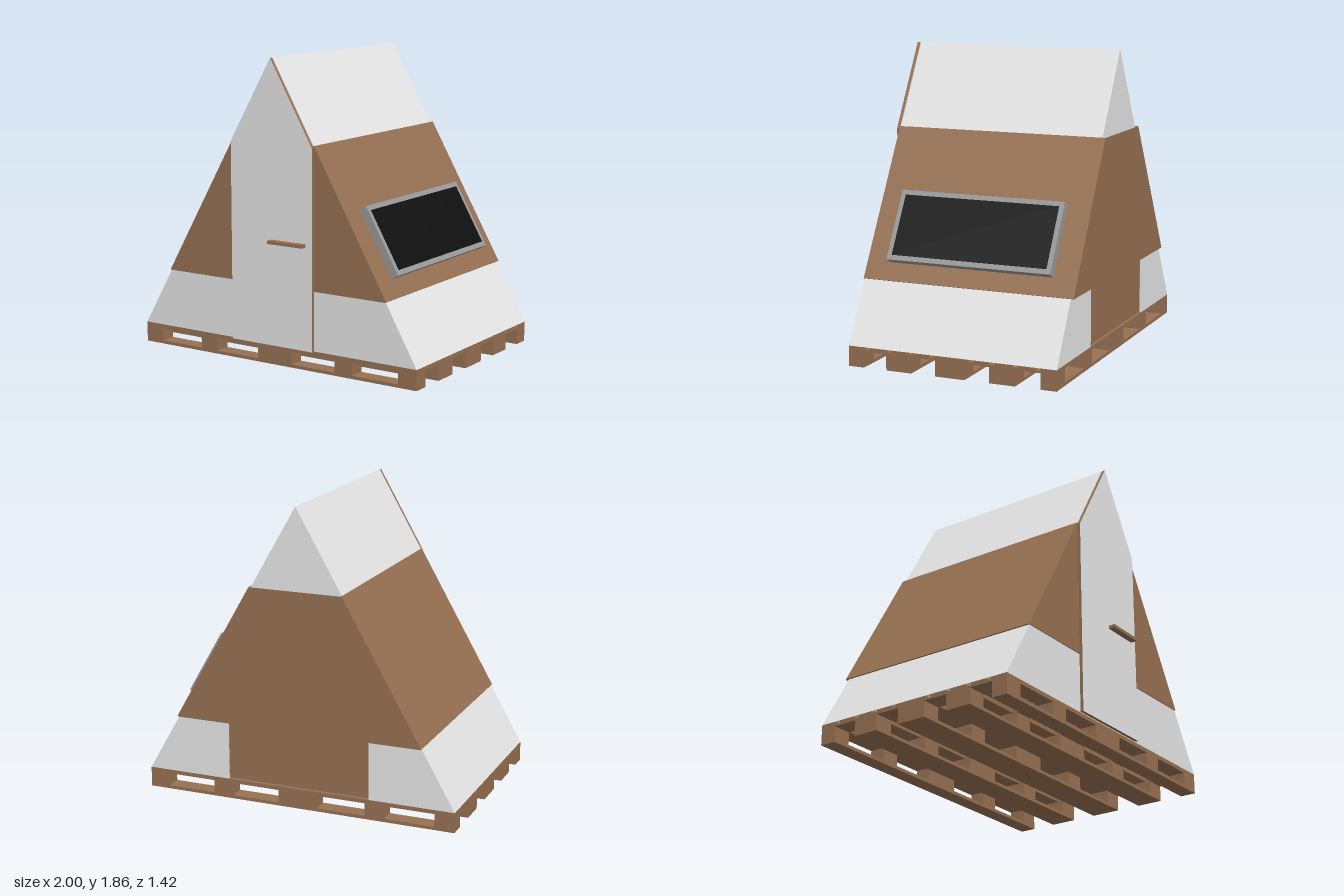
import * as THREE from 'three';

const BASE = 0.125, APEX = 1.857, SLOPE = APEX - BASE; // half width is 1 at the base
const FRONT = 0.645, BACK = -0.69;
const BAND_LOW = 0.49, BAND_HIGH = 1.355;
const halfWidth = (y) => (APEX - y) / SLOPE;

export function createModel() {
  const model = new THREE.Group();
  const material = (name, color) => {
    const m = new THREE.MeshStandardMaterial({ color });
    m.name = name;
    return m;
  };
  const white = material('white panel', 0xeeeeee);
  const wood = material('brown wood', 0x977152);
  const grey = material('grey frame', 0x9a9a9a);
  const black = material('black glass', 0x101010);

  const add = (name, geometry, mat, parent = model) => {
    const mesh = new THREE.Mesh(geometry, mat);
    mesh.name = name;
    parent.add(mesh);
    return mesh;
  };
  // Box given by its limits on each axis
  const box = (name, x0, x1, y0, y1, z0, z1, mat, parent) =>
    add(name, new THREE.BoxGeometry(x1 - x0, y1 - y0, z1 - z0), mat, parent)
      .position.set((x0 + x1) / 2, (y0 + y1) / 2, (z0 + z1) / 2);
  // Flat outline in x and y, extruded from z0 to z1
  const slab = (name, points, z0, z1, mat) => {
    const shape = new THREE.Shape(points.map(([x, y]) => new THREE.Vector2(x, y)));
    const geometry = new THREE.ExtrudeGeometry(shape, { depth: z1 - z0, bevelEnabled: false });
    geometry.translate(0, 0, z0);
    return add(name, geometry, mat);
  };

  // Pallet: runners, blocks, cross boards and deck slats
  const pallet = new THREE.Group();
  pallet.name = 'pallet';
  model.add(pallet);
  const runners = [[0.545, FRONT], [0.23, 0.395], [-0.115, 0.075], [-0.435, -0.27], [BACK, -0.59]];
  const blocks = [[-1, -0.875], [-0.56, -0.435], [-0.125, 0.125], [0.435, 0.56], [0.875, 1]];
  for (const [z0, z1] of runners) {
    box('runner', -1, 1, 0, 0.02, z0, z1, wood, pallet);
    for (const [x0, x1] of blocks) box('block', x0, x1, 0.02, 0.097, z0, z1, wood, pallet);
  }
  for (const [x0, x1] of blocks) box('crossBoard', x0, x1, 0.097, 0.112, BACK, FRONT, wood, pallet);
  const gaps = [0.52, 0.38, 0.24, 0.1, -0.15, -0.29, -0.43, -0.57];
  const edges = [FRONT, ...gaps.flatMap((z) => [z + 0.018, z - 0.018]), BACK];
  for (let i = 0; i < edges.length; i += 2) {
    box('deckSlat', -1, 1, 0.1, BASE, edges[i + 1], edges[i], wood, pallet);
  }

  // Roof shell and end walls
  slab('roof', [[1, BASE], [0, APEX], [-1, BASE], [-0.98, BASE], [0, APEX - 0.035], [0.98, BASE]],
    BACK, FRONT, white);
  const inner = 0.985;
  slab('frontWall', [[-inner, BASE], [inner, BASE], [0, APEX - 0.026]], FRONT - 0.012, FRONT, white);
  slab('backWall', [[-inner, BASE], [-0.46, BASE], [-0.46, BAND_LOW], [0.46, BAND_LOW],
    [0.46, BASE], [inner, BASE], [0, APEX - 0.026]], BACK, BACK + 0.012, white);
  box('backHatch', -0.455, 0.455, BASE + 0.005, BAND_LOW + 0.01, BACK + 0.012, BACK + 0.022, wood);

  // Wooden band wrapped around the house
  const low = halfWidth(BAND_LOW), high = halfWidth(BAND_HIGH);
  for (const side of [-1, 1]) {
    const points = [[low, BAND_LOW], [low + 0.006, BAND_LOW + 0.003],
      [high + 0.006, BAND_HIGH + 0.003], [high, BAND_HIGH]];
    slab('sideBand', points.map(([x, y]) => [x * side, y]), -0.71, FRONT + 0.005, wood);
    slab('frontBand', [[0.29 * side, BAND_LOW], [low * side, BAND_LOW], [0.29 * side, BAND_HIGH]],
      FRONT, FRONT + 0.005, wood);
  }
  slab('backBand', [[-low, BAND_LOW], [low, BAND_LOW], [high, BAND_HIGH], [-high, BAND_HIGH]],
    -0.71, -0.704, wood);

  // Door with wooden edges, and its handle
  const doorTop = APEX - 0.295 * SLOPE;
  slab('door', [[-0.295, BASE], [0.295, BASE], [0.295, doorTop], [0, APEX], [-0.295, doorTop]],
    0.651, 0.671, [white, wood]);
  box('doorHandle', 0, 0.25, 0.755, 0.775, 0.671, 0.712, wood);

  // Window box lying on the left roof slope: local x points out, local y up the slope
  const windowBox = new THREE.Group();
  windowBox.name = 'window';
  windowBox.position.set(halfWidth(0.784), 0.784, -0.03);
  windowBox.rotation.z = Math.PI / 6;
  model.add(windowBox);
  box('windowFrame', 0, 0.06, -0.224, 0.224, -0.53, 0.53, grey, windowBox);
  box('windowGlass', 0.059, 0.063, -0.193, 0.193, -0.5, 0.5, black, windowBox);

  return model;
}
